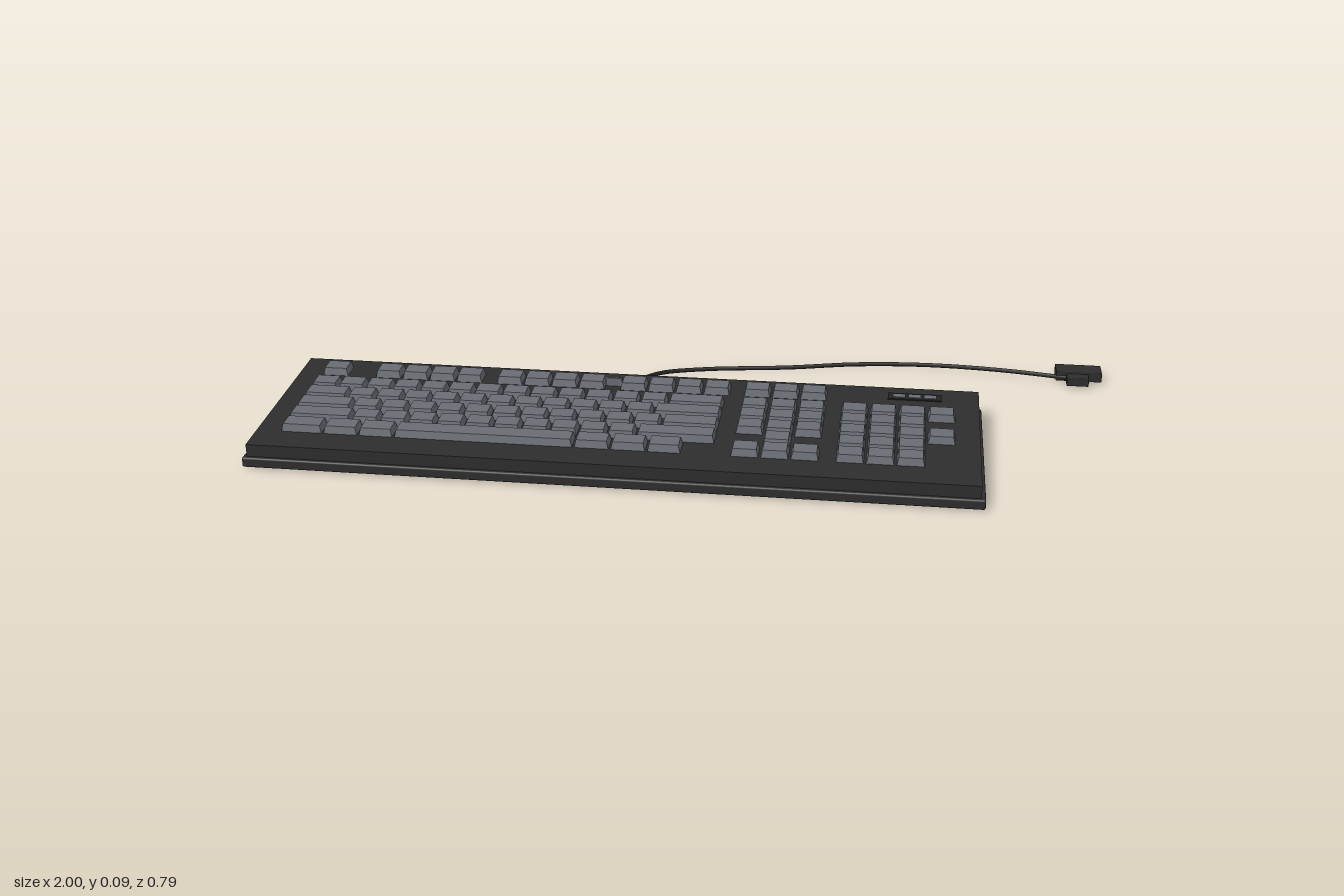
import * as THREE from 'three';
import { RoundedBoxGeometry } from 'three/addons/geometries/RoundedBoxGeometry.js';

const mat = (name, color) => {
  const m = new THREE.MeshStandardMaterial({ color });
  m.name = name;
  return m;
};

// Height of the sloping deck at depth z
const deckY = (z) => 0.058 + ((0.387 - z) / 0.467) * 0.019;

// Tapered keycap: a box whose upper face is drawn in and tilted with the deck
const keycapGeometry = (x, z, w, d, h, inset) => {
  const g = new THREE.BoxGeometry(w, 1, d).toNonIndexed();
  const p = g.attributes.position;
  for (let i = 0; i < p.count; i++) {
    const top = p.getY(i) > 0;
    const px = p.getX(i) - (top ? Math.sign(p.getX(i)) * inset : 0);
    const pz = z + p.getZ(i) - (top ? Math.sign(p.getZ(i)) * inset : 0);
    p.setXYZ(i, x + px, deckY(pz) + (top ? h : -0.004), pz);
  }
  g.computeVertexNormals();
  return g;
};

export function createModel() {
  const model = new THREE.Group();
  model.name = 'keyboard';
  const casing = mat('charcoal casing', 0x2d2d2d);
  const keyGrey = mat('slate keys', 0x686c73);
  const dark = mat('black cable', 0x232323);

  const add = (name, geo, material, x = 0, y = 0, z = 0, parent = model) => {
    const m = new THREE.Mesh(geo, material);
    m.name = name;
    m.position.set(x, y, z);
    parent.add(m);
    return m;
  };

  // Base tray with softened edges
  add('baseTray', new RoundedBoxGeometry(1.69, 0.024, 0.486, 2, 0.004), casing, -0.155, 0.016, 0.153);

  // Upper casing: wedge profile extruded across the width
  const wedge = new THREE.Shape();
  wedge.moveTo(-0.387, 0.02);
  wedge.lineTo(0.08, 0.02);
  wedge.lineTo(0.08, 0.077);
  wedge.lineTo(-0.387, 0.058);
  wedge.closePath();
  const wedgeGeo = new THREE.ExtrudeGeometry(wedge, { depth: 1.67, bevelEnabled: false });
  wedgeGeo.rotateY(Math.PI / 2);
  add('upperCasing', wedgeGeo, casing, -0.99, 0, 0);

  // Keys
  const keys = new THREE.Group();
  keys.name = 'keys';
  model.add(keys);
  const U = 0.0674, LEFT = -0.933;
  const rowZ = [-0.015, 0.068, 0.123, 0.178, 0.234, 0.289];
  const key = (name, x, row, w = 0.064) =>
    add(name, keycapGeometry(x, rowZ[row], w, 0.051, 0.018, 0.005), keyGrey, 0, 0, 0, keys);

  // Main block, widths in key units
  const ones = (n) => Array(n).fill(1);
  const mainRows = [
    [...ones(13), 2],
    [1.6, ...ones(11), 2.4],
    [2, ...ones(11), 2],
    [2.25, ...ones(10), 2.75],
    [1.5, 1.25, 1.25, 6.25, 1.25, 1.25, 1.2],
  ];
  mainRows.forEach((widths, i) => {
    let x = LEFT;
    for (const u of widths) {
      key('mainKey', x + (u * U) / 2, i + 1, u * U - 0.004);
      x += u * U;
    }
  });

  // Back row: one single key, then groups of four
  key('escapeKey', -0.897, 0);
  for (const start of [-0.763, -0.458, -0.152])
    for (let i = 0; i < 4; i++) key('backRowKey', start + i * 0.068, 0);
  add('backRowSliver', new THREE.BoxGeometry(0.04, 0.022, 0.007), keyGrey, -0.202, 0.084, -0.014, keys);

  // Navigation block
  const navX = [0.15, 0.218, 0.286];
  for (const row of [0, 1, 2, 3, 5]) navX.forEach((x) => key('navigationKey', x, row));
  key('arrowUpKey', navX[1], 4);

  // Number pad
  const padX = [0.387, 0.455, 0.523, 0.591];
  [4, 3, 4, 3, 3].forEach((n, i) => {
    for (let c = 0; c < n; c++) key('numberPadKey', padX[c], i + 1);
  });

  // Indicator panel with three lamps
  const slope = Math.atan(0.019 / 0.467);
  const plate = (name, w, d, lift, material, x, z) => {
    const m = add(name, new THREE.BoxGeometry(w, 0.003, d), material, x, deckY(z) + lift, z);
    m.rotation.x = slope;
  };
  plate('indicatorPanel', 0.128, 0.032, 0.001, dark, 0.527, -0.031);
  for (let i = -1; i <= 1; i++) plate('indicatorLamp', 0.03, 0.018, 0.003, keyGrey, 0.527 + i * 0.037, -0.031);

  // Cable
  const path = new THREE.CatmullRomCurve3([
    [-0.155, 0.033, -0.07], [-0.158, 0.031, -0.11], [-0.165, 0.021, -0.17],
    [-0.12, 0.011, -0.25], [-0.01, 0.006, -0.3], [0.2, 0.008, -0.333],
    [0.38, 0.011, -0.37], [0.565, 0.013, -0.383], [0.75, 0.014, -0.37], [0.93, 0.015, -0.337],
  ].map((p) => new THREE.Vector3(...p)));
  add('cable', new THREE.TubeGeometry(path, 80, 0.0055, 8), dark);

  // Plug
  add('plugBody', new RoundedBoxGeometry(0.115, 0.024, 0.055, 2, 0.002), casing, 0.9425, 0.017, -0.369);
  add('plugTip', new RoundedBoxGeometry(0.055, 0.021, 0.036, 2, 0.002), casing, 0.938, 0.0155, -0.328);

  return model;
}
